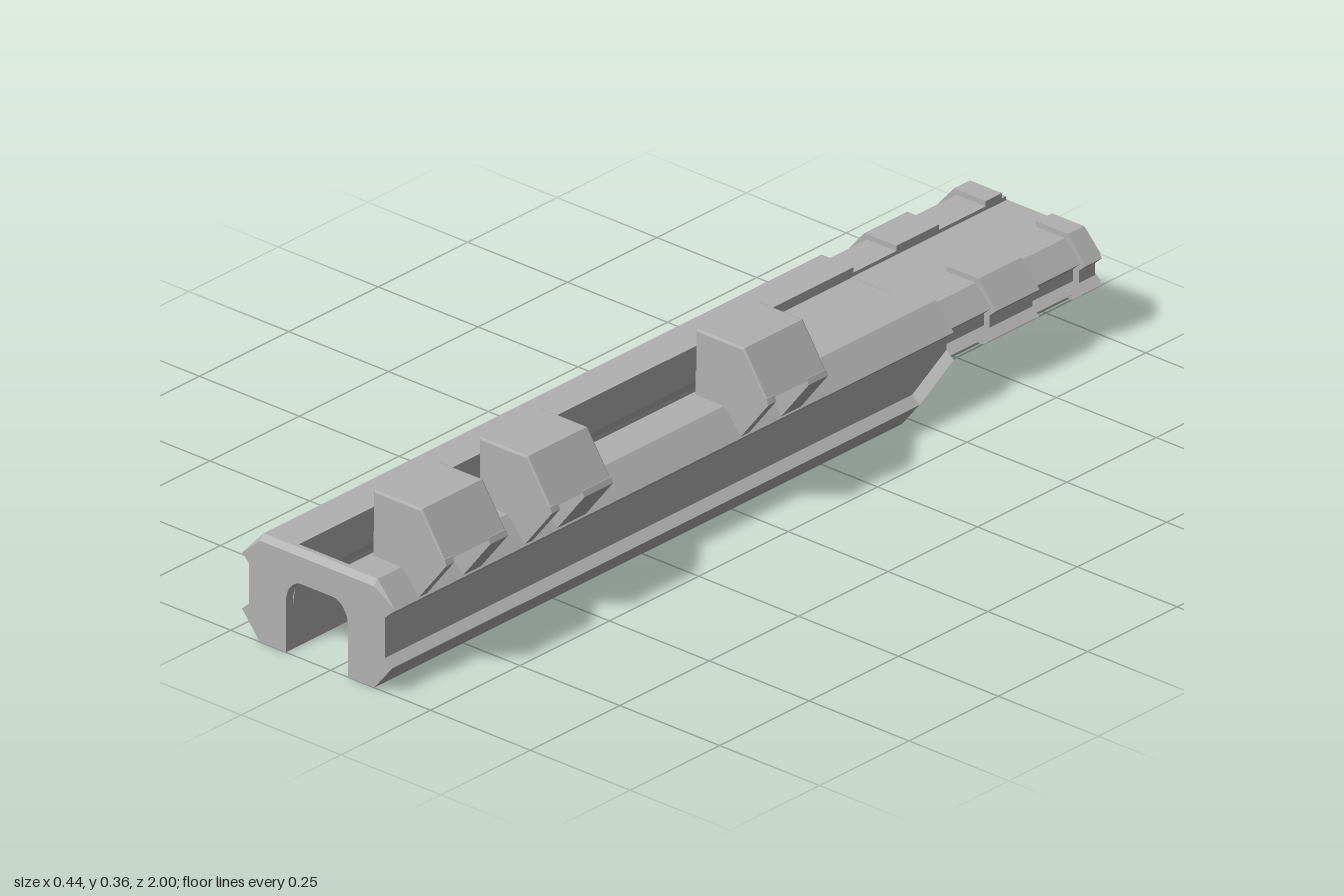
import * as THREE from 'three';

const gray = new THREE.MeshStandardMaterial({ color: 0xb0b0b0 });
gray.name = 'plain gray';

// Skin between matching counter-clockwise cross-sections, listed from back to front
function loft(sections) {
  const pos = [];
  const n = sections[0].pts.length;
  const put = (s, i) => pos.push(s.pts[i % n][0], s.pts[i % n][1], s.z);
  for (let k = 0; k + 1 < sections.length; k++) {
    const lo = sections[k], hi = sections[k + 1];
    for (let j = 0; j < n; j++) {
      put(lo, j); put(lo, j + 1); put(hi, j + 1);
      put(lo, j); put(hi, j + 1); put(hi, j);
    }
  }
  const cap = (s, flip) => {
    const faces = THREE.ShapeUtils.triangulateShape(s.pts.map(p => new THREE.Vector2(p[0], p[1])), []);
    for (const [a, b, c] of faces) for (const i of flip ? [a, c, b] : [a, b, c]) put(s, i);
  };
  cap(sections[0], true);
  cap(sections[sections.length - 1], false);
  const g = new THREE.BufferGeometry();
  g.setAttribute('position', new THREE.Float32BufferAttribute(pos, 3));
  g.computeVertexNormals();
  return g;
}

const mirrored = pts => pts.map(([x, y]) => [-x, y]).reverse();

// Arc of points around (0, cy)
function arc(r, cy, from, to, n = 28) {
  return Array.from({ length: n + 1 }, (_, i) => {
    const a = from + (to - from) * i / n;
    return [r * Math.cos(a), cy + r * Math.sin(a)];
  });
}

function clampShape(points) {
  return new THREE.Shape(points.map(p => new THREE.Vector2(p[0], p[1])));
}

export function createModel() {
  const model = new THREE.Group();
  const rail = new THREE.Group();
  rail.name = 'railBody';
  rail.position.x = -0.034;
  model.add(rail);
  const add = (parent, name, geometry) => {
    const m = new THREE.Mesh(geometry, gray);
    m.name = name;
    parent.add(m);
    return m;
  };
  const addPair = (name, sections) => {
    add(rail, name + 'Left', loft(sections));
    add(rail, name + 'Right', loft(sections.map(s => ({ z: s.z, pts: mirrored(s.pts) }))));
  };

  // Long grooved side rails, lower flange sweeping up at the back
  const upper = [[0.17, 0.155], [0.188, 0.171], [0.143, 0.223], [0.063, 0.223], [0.063, 0.15], [0.073, 0.13]];
  const full = [[0.078, 0], [0.143, 0], [0.188, 0.055], [0.17, 0.071], ...upper, [0.078, 0.09]];
  const raised = [[0.078, 0.075], [0.15, 0.075], [0.188, 0.113], [0.17, 0.129], ...upper, [0.078, 0.09]];
  addPair('sideRail', [{ z: -0.57, pts: raised }, { z: -0.475, pts: full }, { z: 0.98, pts: full }]);

  // Front plate with rounded archway and bevelled top
  const corner = Array.from({ length: 9 }, (_, i) => {
    const a = Math.PI / 2 * i / 8;
    return [0.078 - 0.04 + 0.04 * Math.cos(a), 0.105 + 0.05 * Math.sin(a)];
  });
  const plate = top => {
    const half = [[0.078, 0], [0.143, 0], [0.188, 0.055], [0.17, 0.071], [0.17, 0.155], [0.188, 0.171], [0.143, top]];
    return [...half, ...mirrored(half), ...mirrored(corner).reverse(), ...corner.slice().reverse()];
  };
  add(rail, 'frontPlate', loft([{ z: 0.98, pts: plate(0.223) }, { z: 0.99, pts: plate(0.223) }, { z: 1, pts: plate(0.211) }]));

  // Thin bar across the channel
  const bar = add(rail, 'crossBar', new THREE.BoxGeometry(0.15, 0.045, 0.015));
  bar.position.set(0, 0.18, 0.692);

  // Arched block roofing the back of the channel, flared at its mouth
  const block = r => [[0.08, 0.074], [0.08, 0.203], [-0.08, 0.203], [-0.08, 0.074], ...arc(r, 0.074, Math.PI, 0)];
  add(rail, 'archBlock', loft([
    { z: -0.57, pts: block(0.063) }, { z: -0.22, pts: block(0.063) },
    { z: -0.195, pts: block(0.067) }, { z: -0.175, pts: block(0.077) },
  ]));

  // Half tube and flat top of the tail
  const tube = [...arc(0.128, 0.076, 0, Math.PI), ...arc(0.095, 0.076, Math.PI, 0)];
  add(rail, 'tailTube', loft([{ z: -1, pts: tube }, { z: -0.565, pts: tube }]));
  const top = add(rail, 'tailTop', new THREE.BoxGeometry(0.14, 0.028, 0.435));
  top.position.set(0, 0.19, -0.7825);

  // Tail side rails: slim core with raised blocks
  const tailSide = (d, h) => [
    [0.104, 0.09], [0.155 - d, 0.09], [0.188 - d, 0.115], [0.17 - d, 0.13], [0.17 - d, 0.155],
    [0.188 - d, 0.171], [0.143 - d / 2, h], [0.063, h], [0.063, 0.165], [0.09, 0.135],
  ];
  const core = tailSide(0.014, 0.212), bump = tailSide(0, 0.223);
  addPair('tailRail', [{ z: -0.997, pts: core }, { z: -0.56, pts: core }]);
  for (const [z0, z1] of [[-0.81, -0.69], [-0.985, -0.94]]) {
    addPair('tailRailBlock', [{ z: z0, pts: bump }, { z: z1, pts: bump }]);
  }

  // Angled clamps along the left rail: solid head on two legs
  const b = 0.004;
  const head = clampShape([[0.038 + b, 0.268 + b], [0.216 - b, 0.268 + b], [0.16 - b, 0.359 - b], [0.038 + b, 0.359 - b]]);
  const leg = clampShape([[0.038, 0.215], [0.117, 0.215], [0.152, 0.174], [0.221, 0.262], [0.216, 0.273], [0.038, 0.273]]);
  for (const [z0, z1, backLeg] of [[-0.145, 0.022, 0.055], [0.457, 0.627, 0.08], [0.75, 0.923, 0.05]]) {
    const clamp = new THREE.Group();
    clamp.name = 'clamp';
    model.add(clamp);
    add(clamp, 'clampHead', new THREE.ExtrudeGeometry(head, {
      depth: z1 - z0 - 2 * b, bevelEnabled: true, bevelSize: b, bevelThickness: b, bevelSegments: 2,
    })).position.z = z0 + b;
    for (const [z, depth] of [[z0, backLeg], [z1 - 0.022, 0.022]]) {
      add(clamp, 'clampLeg', new THREE.ExtrudeGeometry(leg, { depth, bevelEnabled: false })).position.z = z;
    }
  }
  return model;
}
